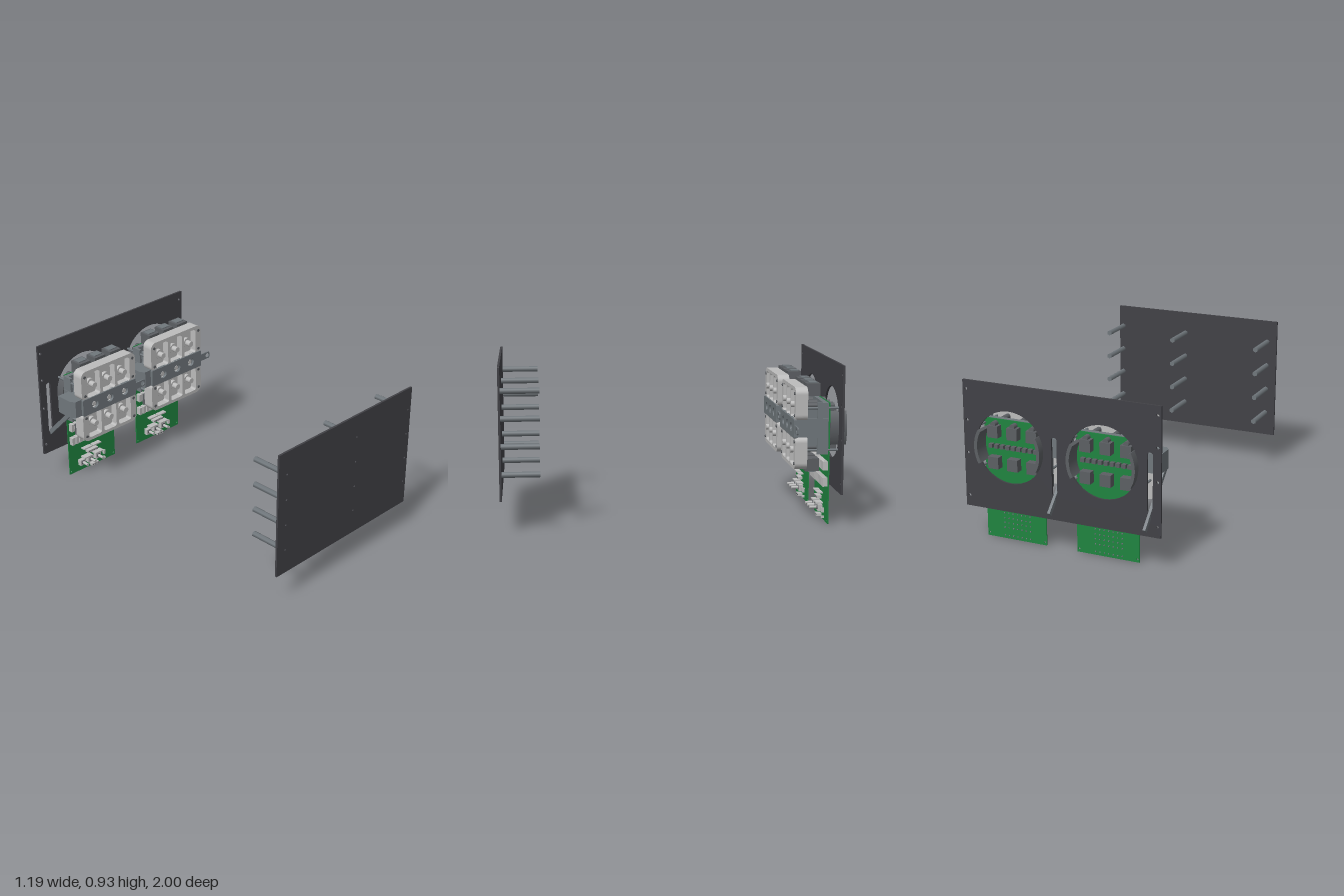
import * as THREE from 'three';

const mat = (name, color) => Object.assign(new THREE.MeshStandardMaterial({ color }), { name });
const M = {
  dark: mat('dark panel', 0x414146),
  green: mat('circuit green', 0x1f8440),
  light: mat('light grey plastic', 0xbcbcbc),
  mid: mat('steel grey', 0x70777c),
  relay: mat('relay grey', 0x5c5f63),
};

function mesh(parent, name, geo, m, x = 0, y = 0, z = 0) {
  const o = new THREE.Mesh(geo, m);
  o.name = name;
  o.position.set(x, y, z);
  parent.add(o);
  return o;
}
// box given by its limits on each axis
function box(parent, name, m, [x0, x1], [y0, y1], [z0, z1]) {
  return mesh(parent, name, new THREE.BoxGeometry(x1 - x0, y1 - y0, z1 - z0), m,
    (x0 + x1) / 2, (y0 + y1) / 2, (z0 + z1) / 2);
}
// cylinder lying along z
function rod(parent, name, m, r, x, y, z0, z1, sides = 16) {
  const g = new THREE.CylinderGeometry(r, r, z1 - z0, sides).rotateX(Math.PI / 2);
  return mesh(parent, name, g, m, x, y, (z0 + z1) / 2);
}
function roundRect(x0, x1, y0, y1, r, Type = THREE.Shape) {
  const s = new Type();
  s.moveTo(x0 + r, y0);
  s.lineTo(x1 - r, y0); s.absarc(x1 - r, y0 + r, r, -Math.PI / 2, 0);
  s.lineTo(x1, y1 - r); s.absarc(x1 - r, y1 - r, r, 0, Math.PI / 2);
  s.lineTo(x0 + r, y1); s.absarc(x0 + r, y1 - r, r, Math.PI / 2, Math.PI);
  s.lineTo(x0, y0 + r); s.absarc(x0 + r, y0 + r, r, Math.PI, Math.PI * 1.5);
  return s;
}
const circle = (x, y, r) => new THREE.Path().absarc(x, y, r, 0, Math.PI * 2);
function slab(parent, name, m, shape, z0, z1) {
  const g = new THREE.ExtrudeGeometry(shape, { depth: z1 - z0, bevelEnabled: false, curveSegments: 20 });
  return mesh(parent, name, g, m, 0, 0, z0);
}

const UNITS = [-0.2575, 0.3075];
const POLES = [-0.125, -0.005, 0.115];

function frontCover() {
  const g = new THREE.Group();
  g.name = 'frontCover';
  const s = roundRect(-0.55, 0.545, 0.18, 0.93, 0.002);
  for (const x of [-0.487, 0.075, 0.521]) for (const y of [0.795, 0.64, 0.484, 0.327]) {
    s.holes.push(circle(x, y, 0.006));
    rod(g, 'standoff', M.mid, 0.0165, x, y, 0.77, 0.986, 6);
  }
  slab(g, 'coverPanel', M.dark, s, 0.986, 0.998);
  return g;
}

function backPlate() {
  const s = roundRect(-0.595, 0.592, 0.188, 0.92, 0.002);
  for (const x of [-0.575, 0.571]) for (const y of [0.868, 0.69, 0.5, 0.25]) s.holes.push(circle(x, y, 0.009));
  for (const x of UNITS) {
    s.holes.push(circle(x, 0.563, 0.208));
    s.holes.push(roundRect(x - 0.29, x - 0.258, 0.325, 0.66, 0.014, THREE.Path));
  }
  const g = new THREE.Group();
  g.name = 'backPlate';
  slab(g, 'mountingPanel', M.dark, s, -0.922, -0.91);
  return g;
}

// circuit board with its controls and relays
function board() {
  const g = new THREE.Group();
  g.name = 'controlBoard';
  const s = roundRect(-0.1875, 0.1875, 0, 0.7, 0.002);
  for (const x of [-0.176, 0.175]) s.holes.push(circle(x, 0.018, 0.006));
  slab(g, 'circuitBoard', M.green, s, -0.863, -0.857);
  // dials
  for (const x of [-0.098, -0.035, 0.028]) {
    box(g, 'dialBase', M.light, [x - 0.02, x + 0.02], [0.045, 0.083], [-0.857, -0.83]);
    rod(g, 'dialRing', M.relay, 0.014, x, 0.066, -0.83, -0.826);
    rod(g, 'dialKnob', M.light, 0.009, x, 0.066, -0.826, -0.785);
  }
  // header strips and sockets
  for (const [x, w, y, d] of [[-0.055, 0.066, 0.153, 0.03], [0.02, 0.066, 0.153, 0.03],
    [-0.06, 0.066, 0.095, 0.04], [0.028, 0.066, 0.095, 0.04]])
    box(g, 'headerStrip', M.light, [x - w / 2, x + w / 2], [y - 0.004, y + 0.004], [-0.857, -0.857 + d]);
  for (const [x0, n, y] of [[-0.055, 6, 0.123], [-0.026, 4, 0.018]]) {
    box(g, 'socket', M.light, [x0, x0 + n * 0.0135], [y - 0.008, y + 0.008], [-0.857, -0.828]);
    for (let i = 0; i < n; i++) rod(g, 'pin', M.relay, 0.004, x0 + (i + 0.5) * 0.0135, y, -0.828, -0.826, 8);
  }
  box(g, 'chip', M.light, [0.082, 0.096], [0.047, 0.073], [-0.857, -0.84]);
  box(g, 'smallChip', M.light, [0.084, 0.095], [0.014, 0.027], [-0.857, -0.84]);
  // pluggable terminals below the switch
  for (const y of [0.215, 0.31]) for (let i = 0; i < 12; i++) {
    const x = -0.165 + i * 0.03;
    box(g, 'plugTerminal', M.light, [x - 0.011, x + 0.011], [y, y + 0.05], [-0.857, -0.828]);
  }
  // rear relays and connector row
  for (const x of POLES) for (const y of [0.455, 0.635])
    box(g, 'relay', M.relay, [x - 0.032, x + 0.032], [y - 0.034, y + 0.034], [-0.907, -0.863]);
  for (let i = 0; i < 9; i++) {
    const x = -0.14 + i * 0.035;
    box(g, 'rearConnector', M.relay, [x - 0.012, x + 0.012], [0.535, 0.557], [-0.89, -0.863]);
  }
  // solder joints on the lower rear
  for (let i = 0; i < 7; i++) for (const y of [0.02, 0.065, 0.095, 0.123, 0.153])
    box(g, 'solderJoint', M.mid, [-0.09 + i * 0.027, -0.084 + i * 0.027], [y - 0.003, y + 0.003], [-0.868, -0.863]);
  return g;
}

// moulded half housing with three cells; dir is +1 for upper, -1 for lower
function halfHousing(dir) {
  const g = new THREE.Group();
  g.name = dir > 0 ? 'upperHousing' : 'lowerHousing';
  const yy = (a, b) => dir > 0 ? [0.555 + a, 0.555 + b] : [0.555 - b, 0.555 - a];
  const [y0, y1] = yy(0.04, 0.235);
  slab(g, 'housingFloor', M.light, roundRect(-0.22, 0.21, y0, y1, 0.04), -0.73, -0.705);
  const rim = roundRect(-0.22, 0.21, y0, y1, 0.04);
  for (const x of POLES) {
    const [c0, c1] = yy(0.055, 0.215);
    rim.holes.push(roundRect(x - 0.05, x + 0.05, c0, c1, 0.014, THREE.Path));
  }
  slab(g, 'housingRim', M.light, rim, -0.705, -0.66);
  for (const x of POLES) {
    const [py] = yy(0.13, 0.13);
    rod(g, 'boss', M.light, 0.03, x, py, -0.705, -0.685, 20);
    rod(g, 'peg', M.light, 0.018, x, py, -0.685, -0.648, 20);
    // rear terminal clamp with screw
    box(g, 'terminalClamp', M.relay, [x - 0.042, x + 0.042], yy(0.18, 0.252), [-0.81, -0.73]);
    box(g, 'clampLip', M.mid, [x - 0.03, x + 0.03], yy(0.19, 0.258), [-0.795, -0.75]);
    box(g, 'contactBlock', M.mid, [x - 0.036, x + 0.036], yy(0.05, 0.11), [-0.83, -0.73]);
    rod(g, 'contactPost', M.relay, 0.016, x, yy(0.12, 0.12)[0], -0.9, -0.73, 12);
  }
  for (const x of [-0.195, 0.187]) for (const a of [0.075, 0.2])
    rod(g, 'housingScrew', M.relay, 0.009, x, yy(a, a)[0], -0.66, -0.655);
  return g;
}

function switchUnit(x) {
  const g = new THREE.Group();
  g.name = 'switchUnit';
  g.position.x = x;
  g.add(board(), halfHousing(1), halfHousing(-1));

  // sliding bar with tab, across the front
  const bar = roundRect(-0.22, 0.205, 0.502, 0.61, 0.006);
  for (const p of POLES) bar.holes.push(circle(p, 0.556, 0.026));
  slab(g, 'crossBar', M.mid, bar, -0.668, -0.652);
  const tab = roundRect(0.2, 0.285, 0.532, 0.576, 0.012);
  tab.holes.push(circle(0.266, 0.554, 0.015));
  slab(g, 'pullTab', M.mid, tab, -0.664, -0.656);
  box(g, 'barCore', M.mid, [-0.19, 0.18], [0.515, 0.597], [-0.73, -0.7]);
  for (const p of POLES) rod(g, 'barPin', M.light, 0.014, p, 0.556, -0.7, -0.66);

  // frame behind the housing
  for (const y of [0.405, 0.66]) box(g, 'frameRail', M.mid, [-0.19, 0.185], [y, y + 0.04], [-0.853, -0.825]);
  box(g, 'frameCentre', M.mid, [-0.19, 0.185], [0.51, 0.6], [-0.853, -0.79]);
  for (const sx of [-0.19, 0.185]) {
    box(g, 'framePost', M.mid, [sx - 0.008, sx + 0.008], [0.405, 0.7], [-0.853, -0.79]);
    box(g, 'sideBracket', M.mid, [sx - 0.012, sx + 0.012], [0.502, 0.61], [-0.85, -0.652]);
    for (const y of [0.43, 0.67]) rod(g, 'supportRod', M.mid, 0.007, sx, y, -0.912, -0.73, 10);
  }

  // curved grips around the rear opening
  for (const a of [0, Math.PI]) {
    const s = new THREE.Shape();
    s.absarc(0, 0.555, 0.203, a - 0.5, a + 0.5, false);
    s.absarc(0, 0.555, 0.184, a + 0.5, a - 0.5, true);
    slab(g, 'rearGrip', M.relay, s, -0.957, -0.863);
  }

  // drive box with chamfered corner, outlined in x and z
  const d = new THREE.Shape();
  [[-0.282, -0.81], [-0.19, -0.81], [-0.19, -0.672], [-0.262, -0.672], [-0.282, -0.7]]
    .forEach(([px, pz], i) => i ? d.lineTo(px, -pz) : d.moveTo(px, -pz));
  const dg = new THREE.ExtrudeGeometry(d, { depth: 0.108, bevelEnabled: false }).rotateX(-Math.PI / 2);
  mesh(g, 'driveBox', dg, M.mid, 0, 0.502, 0);

  // slanted lever through the slot
  const lever = mesh(g, 'lever', new THREE.BoxGeometry(0.016, 0.026, 0.39), M.mid, -0.274, 0.382, -0.852);
  lever.rotation.x = -Math.PI / 4;
  return g;
}

export function createModel() {
  const root = new THREE.Group();
  root.name = 'switchPanelAssembly';
  root.add(frontCover(), backPlate());
  for (const x of UNITS) root.add(switchUnit(x));
  return root;
}
